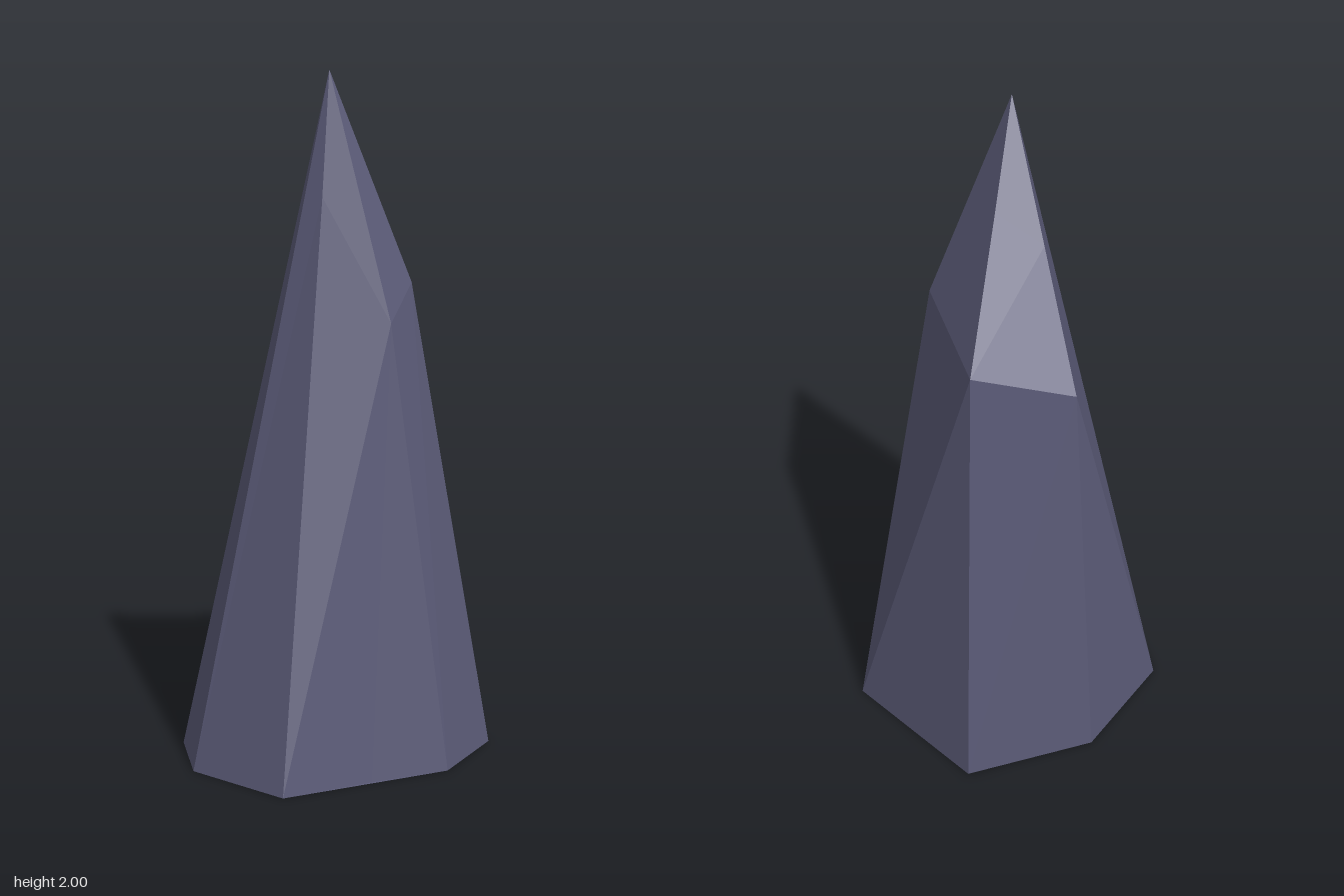
import * as THREE from 'three';

// Corners of the crystal: base ring, shoulder corners, ridge bends and apex
const corners = {
  E: [-0.41, 0, 0.215], K: [-0.14, 0, 0.3], D: [0.085, 0, 0.388], C: [0.365, 0, 0.3],
  B: [0.435, 0, -0.19], A: [0.095, 0, -0.39], G: [-0.285, 0, -0.34], F: [-0.435, 0, -0.13],
  r: [0.155, 1.3, -0.355], s: [0.375, 1.39, -0.165], t: [0.125, 1.4, 0.197], u: [-0.005, 1.3, 0.24],
  v: [0.12, 1.74, -0.04], m: [0.05, 1.65, -0.155], w: [-0.11, 1.65, 0.073],
  P: [-0.052, 2, 0.043],
};

// Builds a flat-shaded mesh from three-letter facets
function facetMesh(name, facets, material) {
  const points = facets.flatMap((f) => [...f].map((k) => new THREE.Vector3(...corners[k])));
  const geometry = new THREE.BufferGeometry().setFromPoints(points);
  geometry.computeVertexNormals();
  const mesh = new THREE.Mesh(geometry, material);
  mesh.name = name;
  return mesh;
}

export function createModel() {
  const group = new THREE.Group();
  group.name = 'crystalShard';
  const stone = new THREE.MeshStandardMaterial({ color: 0x5c5c79 });
  stone.name = 'slate violet';
  stone.flatShading = true;

  // Tall side facets, going round from the front
  const sides = ['EKu', 'KDu', 'Dtu', 'DCt', 'Cst', 'CBs', 'Brs', 'BAr', 'AGr',
    'Gmr', 'GPm', 'GFP', 'FEw', 'FwP', 'Euw'];
  // Sloping facets around the tip
  const tip = ['wuP', 'utP', 'tvP', 'tsv', 'vmP', 'smv', 'srm'];
  // Underside as a fan
  const ring = 'EKDCBAGF';
  const base = [];
  for (let i = 1; i < ring.length - 1; i++) base.push(ring[0] + ring[i + 1] + ring[i]);

  group.add(
    facetMesh('sideFacets', sides, stone),
    facetMesh('tipFacets', tip, stone),
    facetMesh('base', base, stone),
  );
  return group;
}
